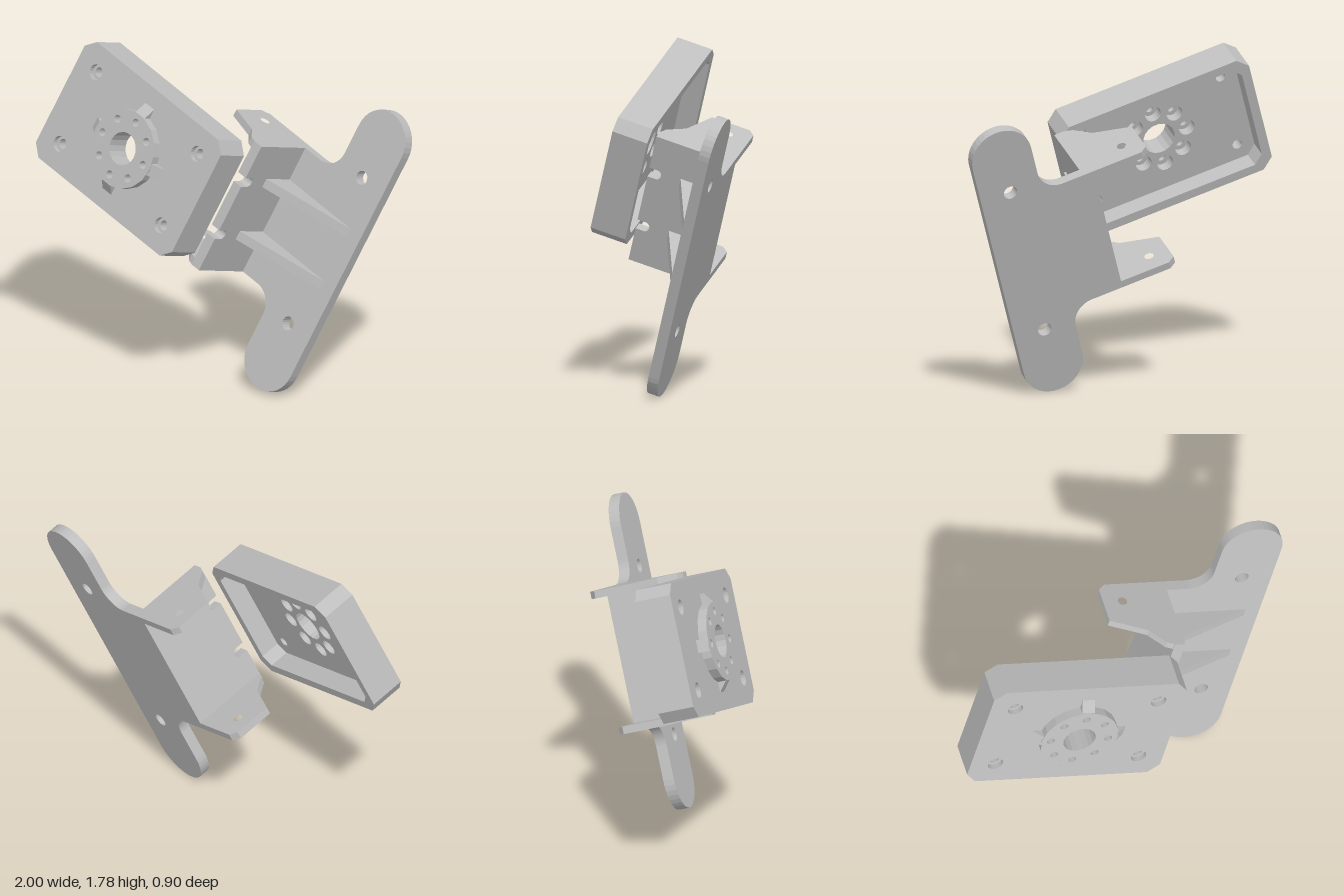
import * as THREE from 'three';

const PI = Math.PI;

function hole(shape, x, y, r) {
  const p = new THREE.Path();
  p.absarc(x, y, r, 0, PI * 2, true);
  shape.holes.push(p);
}

function polygon(points, Type = THREE.Shape) {
  return new Type(points.map(([x, y]) => new THREE.Vector2(x, y)));
}

// Rectangle with clipped corners
function clippedRect(w, h, c) {
  return [[-w + c, -h], [w - c, -h], [w, -h + c], [w, h - c],
    [w - c, h], [-w + c, h], [-w, h - c], [-w, -h + c]];
}

function extrude(shape, z0, z1) {
  const g = new THREE.ExtrudeGeometry(shape, { depth: z1 - z0, bevelEnabled: false, curveSegments: 9 });
  return g.translate(0, 0, z0);
}

// Profile in x,z extruded along y
const alongY = (shape, y0, y1) => extrude(shape, -y1, -y0).rotateX(PI / 2);

// Profile in y,z extruded along x
const alongX = (shape, x0, x1) => extrude(shape, x0, x1).applyMatrix4(
  new THREE.Matrix4().makeBasis(
    new THREE.Vector3(0, 1, 0), new THREE.Vector3(0, 0, 1), new THREE.Vector3(1, 0, 0)));

export function createModel() {
  const grey = new THREE.MeshStandardMaterial({ color: 0xbdbdbd });
  grey.name = 'grey';

  const model = new THREE.Group();
  model.name = 'mountingBracketSet';
  const add = (parent, name, geometry) => {
    const m = new THREE.Mesh(geometry, grey);
    m.name = name;
    parent.add(m);
    return m;
  };

  // ---- Housing: tray open at the back with a flange ring on its face ----
  const housing = new THREE.Group();
  housing.name = 'housing';
  housing.position.set(-0.59, 0, 0.63);
  model.add(housing);

  const drill = (shape, cornerR, boltR) => {
    if (cornerR) {
      for (const sx of [-1, 1]) for (const sy of [-1, 1]) hole(shape, sx * 0.408, sy * 0.226, cornerR);
    }
    for (let i = 0; i < 8; i++) {
      hole(shape, 0.163 * Math.cos(i * PI / 4), 0.163 * Math.sin(i * PI / 4), boltR);
    }
    hole(shape, 0, 0, 0.09);
    return shape;
  };
  const outline = clippedRect(0.55, 0.365, 0.06);
  add(housing, 'housingFace', extrude(drill(polygon(outline), 0.043, 0.022), -0.03, 0));
  add(housing, 'housingFloor', extrude(drill(polygon(outline), 0.027, 0.045), -0.09, -0.03));

  const rim = polygon(outline);
  rim.holes.push(polygon(clippedRect(0.5, 0.315, 0.05).reverse(), THREE.Path));
  add(housing, 'housingRim', extrude(rim, -0.2, -0.09));

  const ring = new THREE.Shape();
  ring.absarc(0, 0, 0.215, 0, PI * 2, false);
  add(housing, 'flangeRing', extrude(drill(ring, 0, 0.022), 0, 0.05));

  // Wedges around the ring
  for (let i = 0; i < 4; i++) {
    const wedge = polygon([[0.205, 0], [0.268, 0], [0.205, 0.05]]);
    add(housing, 'ringWedge', alongY(wedge, -0.035, 0.035)).rotation.z = i * PI / 2;
  }

  // ---- Bracket: T-shaped plate, upright plate, side tabs and ribs ----
  const bracket = new THREE.Group();
  bracket.name = 'bracket';
  model.add(bracket);

  const tee = new THREE.Shape();
  tee.moveTo(0, -0.39);
  tee.lineTo(0.12, -0.39);
  tee.absarc(0.12, -0.51, 0.12, PI / 2, 0, true);
  tee.absarc(0.41, -0.69, 0.17, PI, PI * 2, false);
  tee.absarc(0.41, 0.69, 0.17, 0, PI, false);
  tee.absarc(0.12, 0.51, 0.12, 0, -PI / 2, true);
  tee.lineTo(0, 0.39);
  tee.closePath();
  for (const s of [-1, 1]) hole(tee, 0.41, s * 0.46, 0.038);
  add(bracket, 'teePlate', extrude(tee, -0.06, 0));

  // Upright plate with two rounded slots in its free edge
  const upright = new THREE.Shape();
  upright.moveTo(-0.39, -0.06);
  upright.lineTo(0.39, -0.06);
  upright.lineTo(0.39, 0.38);
  for (const y of [0.165, -0.165]) {
    upright.lineTo(y + 0.028, 0.38);
    upright.absarc(y, 0.335, 0.028, 0, -PI, true);
    upright.lineTo(y - 0.028, 0.38);
  }
  upright.lineTo(-0.39, 0.38);
  upright.closePath();
  add(bracket, 'uprightPlate', alongX(upright, -0.06, 0));

  for (const s of [-1, 1]) {
    // Side tab with a hole
    const tab = polygon([[-0.05, -0.06], [-0.34, -0.06], [-0.38, -0.025], [-0.38, 0.19],
      [-0.18, 0.27], [-0.1, 0.36], [-0.05, 0.38]]);
    hole(tab, -0.27, 0.06, 0.026);
    const [y0, y1] = s > 0 ? [0.35, 0.39] : [-0.39, -0.35];
    add(bracket, 'sideTab', alongY(tab, y0, y1));

    // Triangular rib
    const rib = polygon([[0, 0], [0.5, 0], [0, 0.2]]);
    add(bracket, 'rib', alongY(rib, s * 0.165 - 0.026, s * 0.165 + 0.026));
  }

  // Tilt the assembly into its resting pose
  model.rotation.set(0, -0.759, -0.443, 'ZYX');
  model.position.set(0.27, 0.936, 0.016);

  const root = new THREE.Group();
  root.name = 'model';
  root.add(model);
  return root;
}
